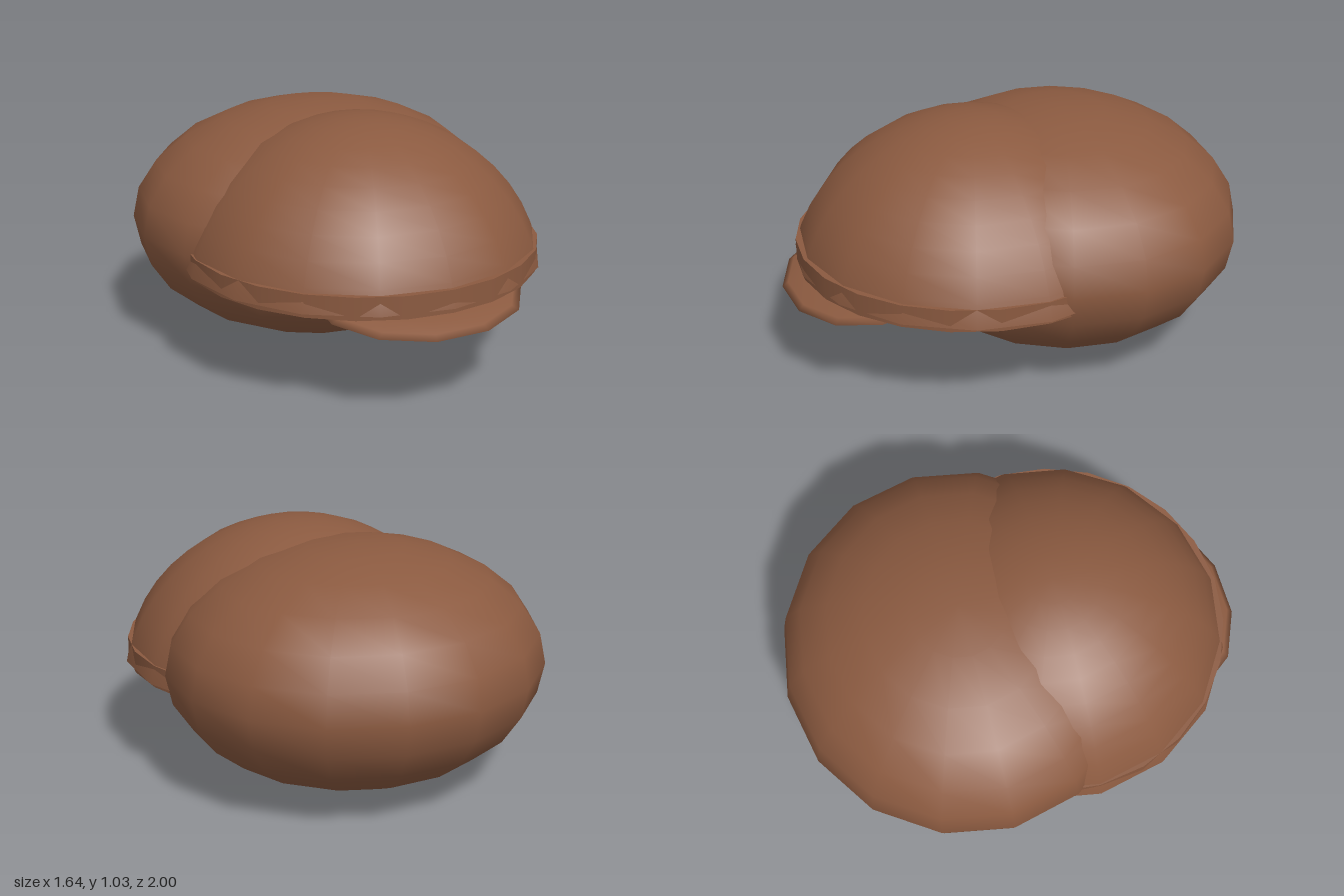
import * as THREE from 'three';

export function createModel() {
  const model = new THREE.Group();
  const material = new THREE.MeshStandardMaterial({ color: 0x8b5a40, side: THREE.DoubleSide });

  function add(name, geometry, x, y, z) {
    const mesh = new THREE.Mesh(geometry, material);
    mesh.name = name;
    mesh.position.set(x, y, z);
    model.add(mesh);
  }

  // Egg-shaped main body
  add('body', new THREE.SphereGeometry(1, 16, 12).scale(0.82, 0.505, 0.775), 0, 0.508, -0.225);

  // Cap crown: open dome cut just above its equator
  const crown = new THREE.SphereGeometry(1, 16, 10, 0, Math.PI * 2, 0, Math.PI * 0.43);
  add('crown', crown.scale(0.788, 0.75, 0.788), 0, 0.28, 0.17);

  // Closed band around the foot of the crown
  add('band', new THREE.CylinderGeometry(1, 1, 0.095, 24).scale(0.75, 1, 0.762), 0, 0.473, 0.17);

  // Flattened visor, dipping forward
  const visor = new THREE.SphereGeometry(1, 12, 8)
    .rotateY(Math.PI / 12)
    .scale(0.45, 0.042, 0.355)
    .rotateX(0.17);
  add('visor', visor, 0, 0.41, 0.66);

  return model;
}
